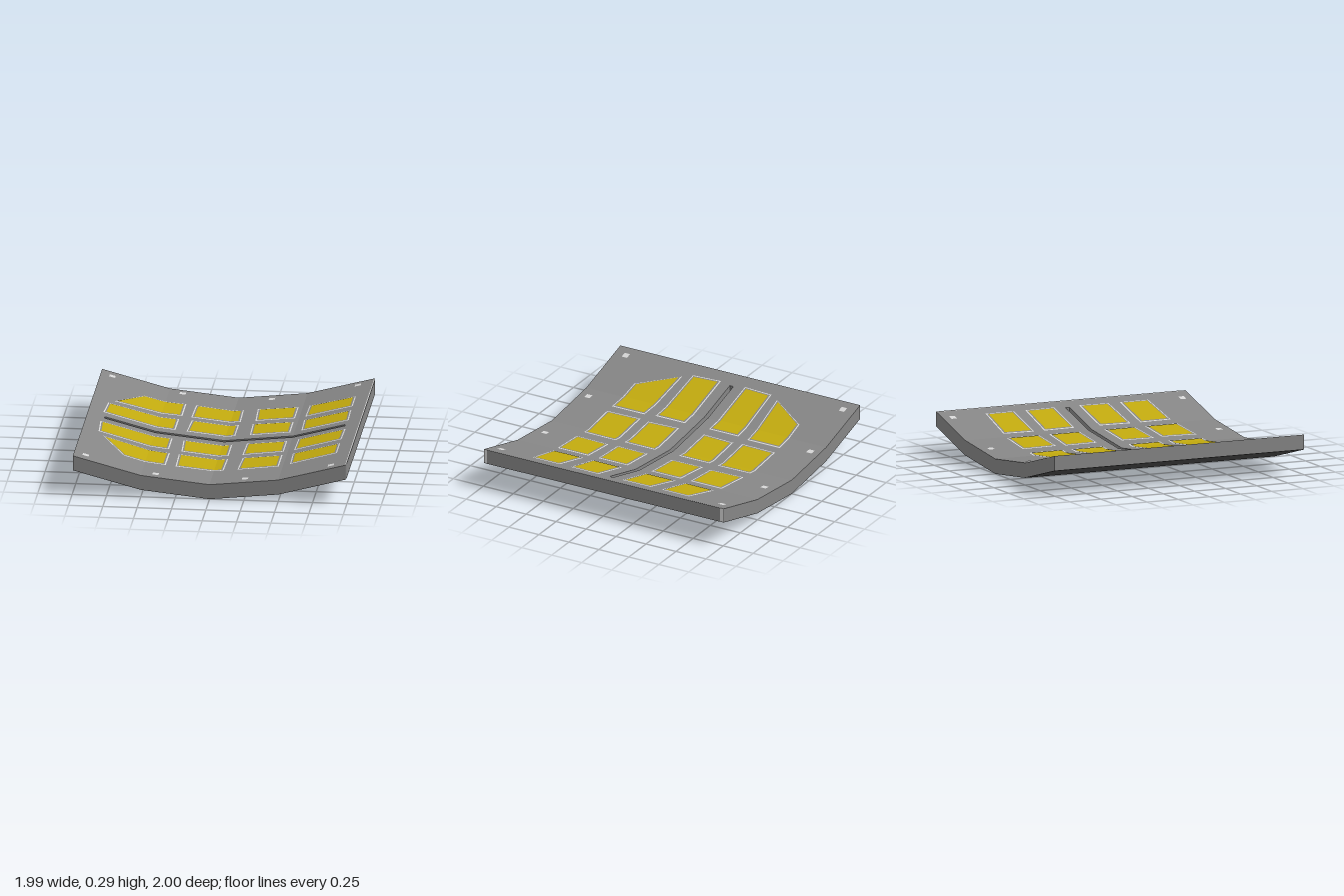
import * as THREE from 'three';

const material = (name, color, extra = {}) => {
  const m = new THREE.MeshStandardMaterial({ color, ...extra });
  m.name = name;
  return m;
};

// Cross-section of the bent panel: x position and height of the upper surface
const PROFILE = [[-0.995, 0.295], [-0.5, 0.163], [0, 0.11], [0.5, 0.163], [0.995, 0.295]];
const THICKNESS = 0.11;

function topAt(x) {
  let i = 0;
  while (i < PROFILE.length - 2 && x > PROFILE[i + 1][0]) i++;
  const [xa, ya] = PROFILE[i], [xb, yb] = PROFILE[i + 1];
  return ya + (yb - ya) * (x - xa) / (xb - xa);
}

// Solid following the bend between x0..x1 and z0..z1; low and high are offsets from the upper surface
function bentSlab(x0, x1, z0, z1, low, high) {
  const xs = [x0, ...PROFILE.map(p => p[0]).filter(x => x > x0 && x < x1), x1];
  const lower = xs.map(x => new THREE.Vector2(x, topAt(x) + low));
  const upper = xs.map(x => new THREE.Vector2(x, topAt(x) + high)).reverse();
  const g = new THREE.ExtrudeGeometry(new THREE.Shape([...lower, ...upper]), { depth: z1 - z0, bevelEnabled: false });
  return g.translate(0, 0, z0);
}

// Keep the part of a polygon on one side of a line of constant x
function clip(poly, limit, sign) {
  const out = [];
  poly.forEach((a, i) => {
    const b = poly[(i + 1) % poly.length];
    const da = sign * (a[0] - limit), db = sign * (b[0] - limit);
    if (da >= 0) out.push(a);
    if (da * db < 0) {
      const t = da / (da - db);
      out.push([limit, a[1] + (b[1] - a[1]) * t]);
    }
  });
  return out;
}

// Thin plate with outline [x, z], folded over the bends of the panel
function surfacePlate(name, outline, height, mat) {
  const group = new THREE.Group();
  group.name = name;
  for (let i = 0; i < PROFILE.length - 1; i++) {
    const piece = clip(clip(outline, PROFILE[i][0], 1), PROFILE[i + 1][0], -1);
    if (piece.length < 3) continue;
    const shape = new THREE.Shape(piece.map(([x, z]) => new THREE.Vector2(x, -z)));
    const g = new THREE.ShapeGeometry(shape);
    const p = g.attributes.position;
    for (let k = 0; k < p.count; k++) {
      p.setXYZ(k, p.getX(k), topAt(p.getX(k)) + height, -p.getY(k));
    }
    g.computeVertexNormals();
    const mesh = new THREE.Mesh(g, mat);
    mesh.name = name;
    group.add(mesh);
  }
  return group;
}

// Enlarge an outline by a margin on every side
function outset(poly, margin) {
  const fit = axis => {
    const v = poly.map(p => p[axis]);
    const lo = Math.min(...v), hi = Math.max(...v), mid = (lo + hi) / 2;
    return c => mid + (c - mid) * (1 + 2 * margin / (hi - lo));
  };
  const fx = fit(0), fz = fit(1);
  return poly.map(([x, z]) => [fx(x), fz(z)]);
}

// Pad outlines for the back half; the front half is mirrored
const PADS = [
  [[-0.82, -0.415], [-0.65, -0.67], [-0.37, -0.68], [-0.37, -0.445]],
  [[-0.26, -0.68], [0.05, -0.675], [0.055, -0.445], [-0.265, -0.445]],
  [[0.19, -0.675], [0.45, -0.665], [0.45, -0.445], [0.2, -0.445]],
  [[0.57, -0.65], [0.87, -0.635], [0.87, -0.445], [0.565, -0.445]],
  [[-0.86, -0.31], [-0.385, -0.325], [-0.385, -0.12], [-0.87, -0.12]],
  [[-0.255, -0.335], [0.05, -0.335], [0.05, -0.12], [-0.265, -0.123]],
  [[0.19, -0.335], [0.45, -0.325], [0.45, -0.12], [0.195, -0.12]],
  [[0.565, -0.325], [0.87, -0.315], [0.875, -0.12], [0.57, -0.12]],
];
const STUDS = [[-0.91, 0.905], [-0.4, 0.925], [0.25, 0.915], [0.875, 0.92]];

export function createModel() {
  const model = new THREE.Group();
  model.name = 'bentPanel';
  const grey = material('panel grey', 0x868686);
  const light = material('light trim', 0xd6d6d6);
  const dark = material('underside dark', 0x4a4a4a);
  const yellow = material('pad yellow', 0xc2aa0e);

  const add = (name, geometry, mat) => {
    const mesh = new THREE.Mesh(geometry, mat);
    mesh.name = name;
    model.add(mesh);
  };

  // Panel body, left open along the middle for the groove
  const X0 = -0.995, X1 = 0.985, END = 0.992, G = 0.015;
  const base = -THICKNESS + 0.003;
  add('backHalf', bentSlab(X0, X1, -1, -G, base, 0), grey);
  add('frontHalf', bentSlab(X0, X1, G, 1, base, 0), grey);
  add('grooveEndRight', bentSlab(X0, -0.87, -G, G, base, 0), grey);
  add('grooveEndLeft', bentSlab(0.88, X1, -G, G, base, 0), grey);
  add('grooveFloor', bentSlab(-0.87, 0.88, -G, G, base, -0.06), light);

  // Underside sheet and end trim
  add('underside', bentSlab(X0, END, -1, 1, -THICKNESS, base), dark);
  add('endTrim', bentSlab(X1, END, -1, 1, base, 0), light);
  add('endPlate', bentSlab(END, 0.995, -0.97, 0.97, -THICKNESS, 0), grey);

  // Pads with a light outline, on both halves
  for (const side of [1, -1]) {
    for (const pad of PADS) {
      const outline = pad.map(([x, z]) => [x, z * side]);
      model.add(surfacePlate('padOutline', outset(outline, 0.02), 0.0015, light));
      model.add(surfacePlate('padGap', outset(outline, 0.011), 0.003, grey));
      model.add(surfacePlate('pad', outline, 0.0045, yellow));
    }
    // Small square studs along the edge
    for (const [x, z] of STUDS) {
      const r = 0.022, c = z * side;
      const square = [[x - r, c - r], [x + r, c - r], [x + r, c + r], [x - r, c + r]];
      model.add(surfacePlate('stud', square, 0.002, light));
    }
  }
  return model;
}
